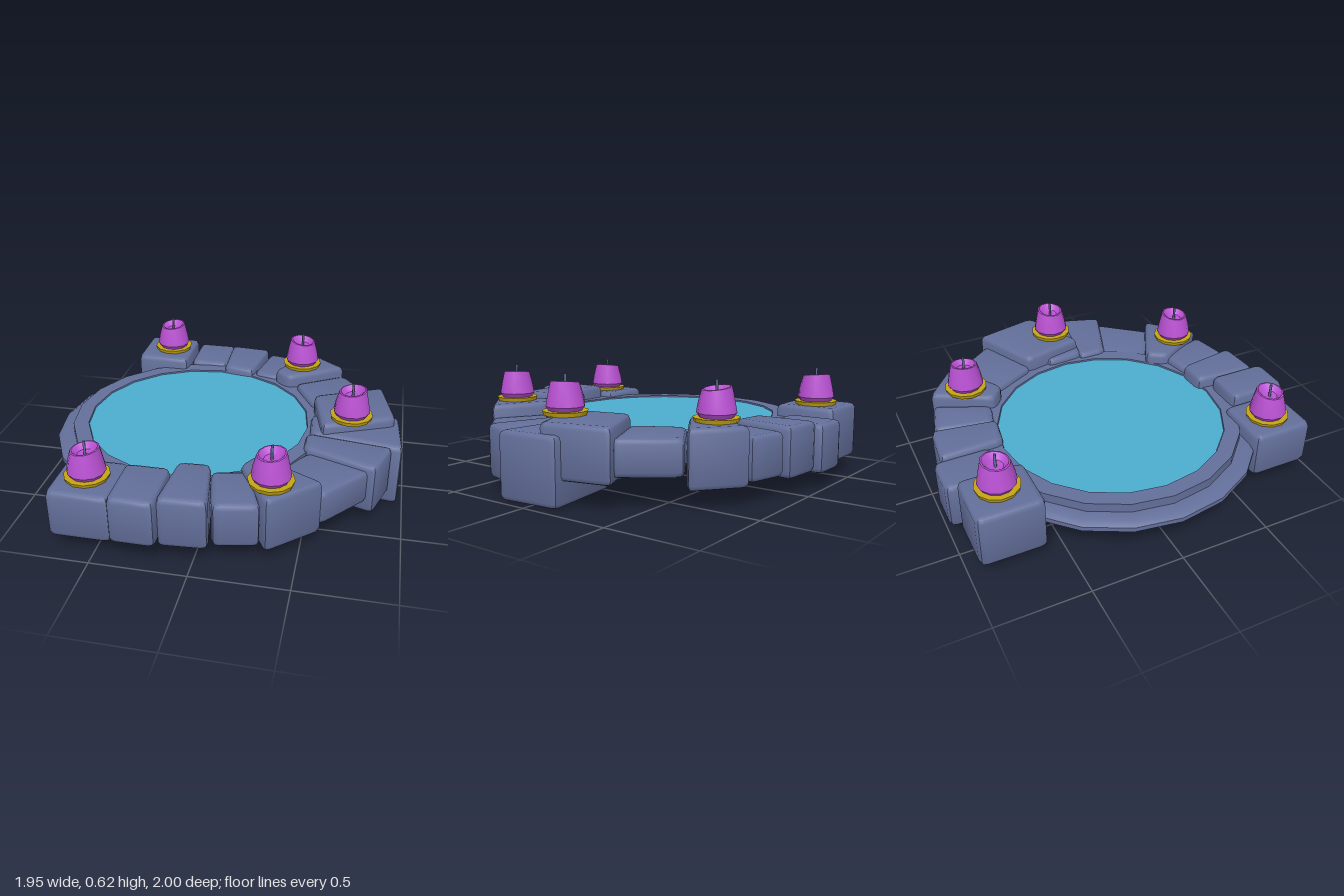
import * as THREE from 'three';
import { toCreasedNormals } from 'three/addons/utils/BufferGeometryUtils.js';

const mat = (name, color) => {
  const m = new THREE.MeshStandardMaterial({ color });
  m.name = name;
  return m;
};

export function createModel() {
  const stone = mat('slate stone', 0x636f9a);
  const water = mat('pool water', 0x4badcd);
  const wax = mat('purple wax', 0xb951d3);
  const gold = mat('gold', 0xc4a414);

  const root = new THREE.Group();
  root.name = 'candlePool';

  const add = (parent, name, geo, material, x = 0, y = 0, z = 0) => {
    const mesh = new THREE.Mesh(geo, material);
    mesh.name = name;
    mesh.position.set(x, y, z);
    parent.add(mesh);
    return mesh;
  };
  const lathe = (points, sides) =>
    new THREE.LatheGeometry(points.map(p => new THREE.Vector2(...p)), sides);

  // Basin: flat underside, low outer lip, raised inner rim
  add(root, 'basin', toCreasedNormals(lathe([
    [0, 0.16], [0.71, 0.16], [0.71, 0.205], [0.77, 0.205], [0.8, 0.225], [0.8, 0.25],
    [0.77, 0.27], [0.71, 0.27], [0.71, 0.32], [0.625, 0.32], [0.622, 0.305], [0, 0.305],
  ], 20), 0.6), stone, -0.175);
  const surface = new THREE.CircleGeometry(0.622, 20).rotateX(-Math.PI / 2);
  add(root, 'water', surface, water, -0.175, 0.312);

  // Stone block: four-cornered footprint with softened edges, from y0 to y1
  const block = (name, corners, y0, y1) => {
    const b = 0.028, cut = 0.036;
    const pts = corners.map(([x, z]) => new THREE.Vector2(x, -z));
    const shape = new THREE.Shape();
    pts.forEach((p, i) => {
      const toward = q => q.clone().sub(p).setLength(cut).add(p);
      const a = toward(pts[(i + 3) % 4]), c = toward(pts[(i + 1) % 4]);
      if (i) shape.lineTo(a.x, a.y);
      else shape.moveTo(a.x, a.y);
      shape.quadraticCurveTo(p.x, p.y, c.x, c.y);
    });
    shape.closePath();
    const geo = new THREE.ExtrudeGeometry(shape, {
      depth: y1 - y0 - 2 * b, curveSegments: 2,
      bevelThickness: b, bevelSize: b, bevelOffset: -b, bevelSegments: 2,
    });
    geo.rotateX(-Math.PI / 2).translate(0, y0 + b, 0);
    add(root, name, toCreasedNormals(geo, 0.8), stone);
  };
  const rect = (x0, x1, z0, z1) => [[x0, z0], [x1, z0], [x1, z1], [x0, z1]];

  // Horseshoe of blocks, front end round to the back end
  block('frontEndBlock', rect(-0.72, -0.395, 0.6, 0.945), 0.09, 0.35);
  block('frontBlock1', rect(-0.39, -0.155, 0.665, 0.998), 0.137, 0.393);
  block('frontBlock2', [[-0.14, 0.59], [0.03, 0.58], [0.09, 0.93], [-0.165, 0.948]], 0.11, 0.387);
  block('frontBlock3', [[0.03, 0.6], [0.22, 0.56], [0.33, 0.86], [0.1, 0.908]], 0.115, 0.356);
  block('frontCandleBlock', [[0.24, 0.445], [0.605, 0.635], [0.35, 0.865], [0.17, 0.56]], 0.085, 0.387);
  block('frontBlock4', [[0.32, 0.49], [0.49, 0.25], [0.82, 0.38], [0.595, 0.65]], 0.13, 0.316);
  block('frontBlock5', [[0.455, 0.1], [0.925, 0.165], [0.845, 0.41], [0.455, 0.27]], 0.065, 0.347);
  block('middleBlock', [[0.46, -0.1], [0.945, -0.165], [0.975, 0.195], [0.475, 0.12]], 0, 0.355);
  block('middleCandleBlock', [[0.455, -0.235], [0.84, -0.415], [0.93, -0.04], [0.54, 0.13]], 0.13, 0.41);
  block('backBlock5', [[0.32, -0.48], [0.6, -0.655], [0.81, -0.38], [0.46, -0.22]], 0.16, 0.35);
  block('backCandleBlock', [[0.18, -0.545], [0.355, -0.87], [0.605, -0.67], [0.28, -0.465]], 0.095, 0.397);
  block('backBlock3', [[0.04, -0.6], [0.105, -0.918], [0.335, -0.86], [0.2, -0.56]], 0.11, 0.34);
  block('backBlock2', [[-0.165, -0.96], [0.09, -0.94], [0.035, -0.585], [-0.155, -0.615]], 0.09, 0.36);
  block('backBlock1', rect(-0.39, -0.155, -1, -0.69), 0.08, 0.34);
  block('backEndBlock', rect(-0.72, -0.395, -0.95, -0.6), 0.085, 0.387);

  // Candle: wax cup with a slanted, hollowed top
  const cup = lathe([
    [0, 0.012], [0.085, 0.012], [0.1, 0.035], [0.09, 0.09], [0.074, 0.155],
    [0.066, 0.157], [0.04, 0.128], [0, 0.12],
  ], 12);
  const pos = cup.attributes.position;
  for (let i = 0; i < pos.count; i++) {
    if (pos.getY(i) > 0.1) pos.setY(i, pos.getY(i) + 0.13 * pos.getX(i));
  }
  const cupGeo = toCreasedNormals(cup, 0.6);
  const dishGeo = new THREE.CylinderGeometry(0.117, 0.11, 0.022, 12);
  const wickGeo = new THREE.CylinderGeometry(0.007, 0.007, 0.085, 6);

  [
    [-0.56, 0.345, 0.765, 0.2], [0.35, 0.385, 0.695, 0.6], [0.685, 0.41, 0.005, 0.4],
    [0.335, 0.395, -0.66, 2.6], [-0.53, 0.385, -0.78, 0.9],
  ].forEach(([x, y, z, turn], i) => {
    const candle = new THREE.Group();
    candle.name = `candle${i + 1}`;
    candle.position.set(x, y, z);
    candle.rotation.y = turn;
    add(candle, 'candleDish', dishGeo, gold, 0, 0.012);
    add(candle, 'candleWax', cupGeo, wax, 0, 0.01);
    add(candle, 'candleWick', wickGeo, stone, 0, 0.163);
    root.add(candle);
  });

  return root;
}
